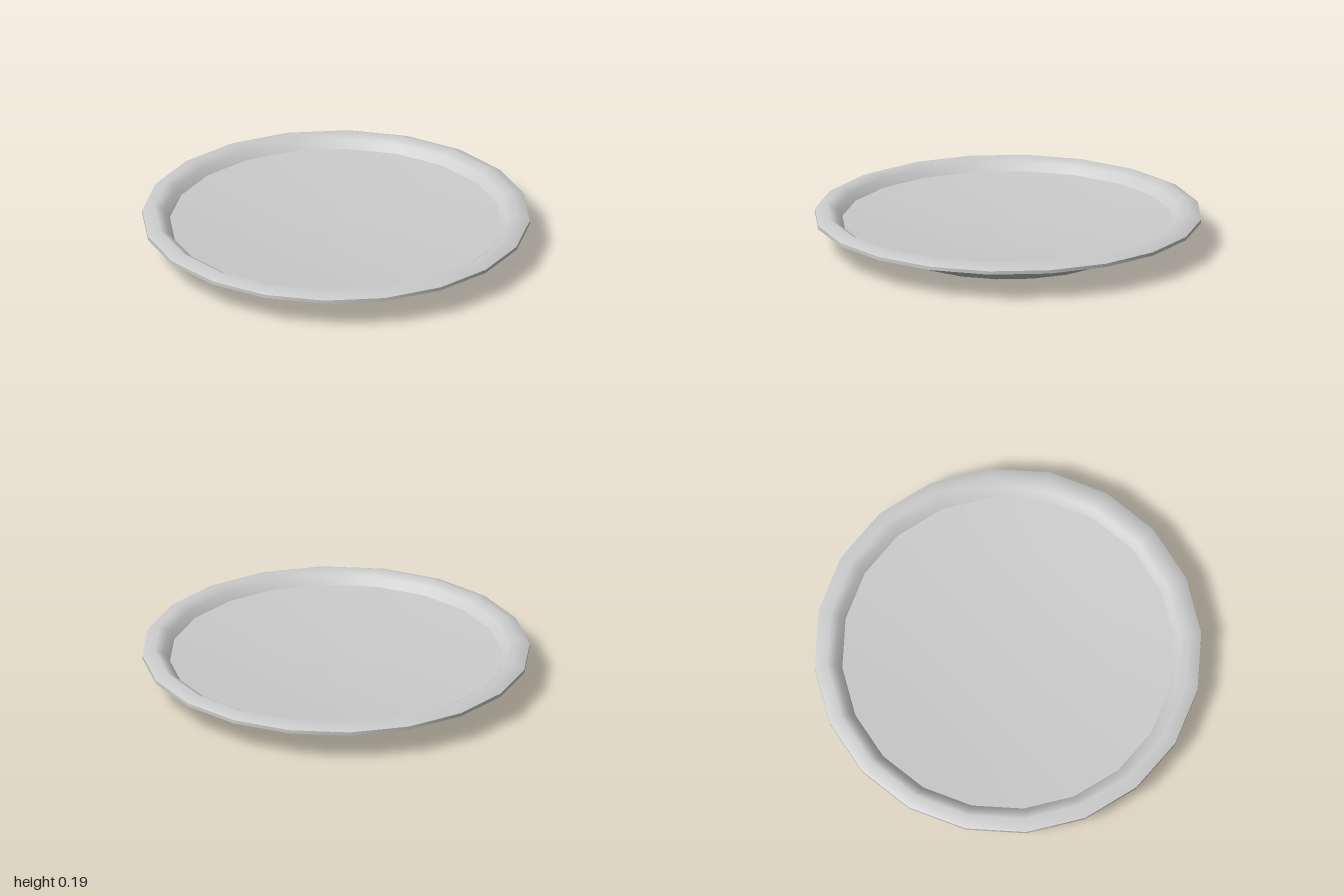
import * as THREE from 'three';

const SIDES = 20;

// Revolve a [radius, height] profile, listed from the underside outward and back in over the top
function turned(name, profile, material) {
  const points = profile.map(([r, y]) => new THREE.Vector2(r, y));
  const mesh = new THREE.Mesh(new THREE.LatheGeometry(points, SIDES), material);
  mesh.name = name;
  return mesh;
}

export function createModel() {
  const material = new THREE.MeshStandardMaterial({ color: 0xcccccc, side: THREE.DoubleSide });
  const plate = new THREE.Group();
  plate.name = 'plate';

  // Flat foot, flared underside and the flat bottom of the lip
  plate.add(turned('underside', [
    [0, 0], [0.6, 0], [0.91, 0.149], [1, 0.149],
  ], material));

  // Thin upright edge of the lip
  plate.add(turned('lipEdge', [[1, 0.149], [1, 0.167]], material));

  // Sloping rim, crest and inner wall that steepens toward the floor
  plate.add(turned('rim', [
    [1, 0.167], [0.935, 0.195], [0.89, 0.169], [0.857, 0.13],
  ], material));

  // Shallow dished eating surface, with a sharp crease where it meets the wall
  plate.add(turned('floor', [
    [0.857, 0.13], [0.57, 0.108], [0.29, 0.095], [0, 0.09],
  ], material));

  return plate;
}
